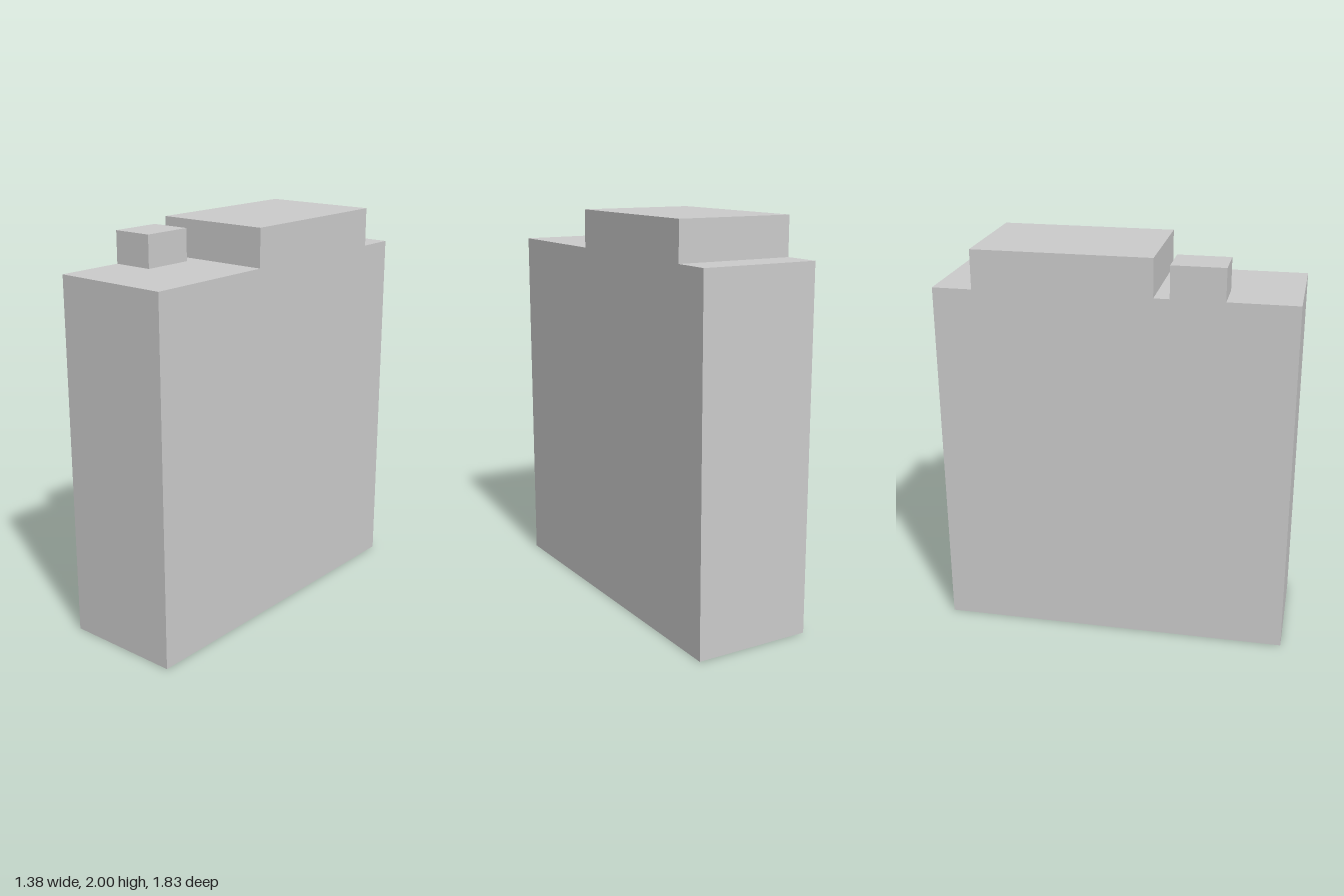
import * as THREE from 'three';

const WIDTH = 0.602;
const HALF_LENGTH = 0.8815;
const FRONT_ROOF = 1.81;
const REAR_ROOF = 1.805;

export function createModel() {
  const model = new THREE.Group();
  model.name = 'building';
  const material = new THREE.MeshStandardMaterial({ color: 0xcccccc, flatShading: true });

  // Slab block: stepped side profile (length, height) extruded across its width
  const profile = new THREE.Shape([
    [-HALF_LENGTH, 0], [HALF_LENGTH, 0], [HALF_LENGTH, REAR_ROOF], [0.684, REAR_ROOF],
    [0.684, 2], [-0.1975, 2], [-0.1975, FRONT_ROOF], [-HALF_LENGTH, FRONT_ROOF],
  ].map(([x, y]) => new THREE.Vector2(x, y)));
  const blockGeometry = new THREE.ExtrudeGeometry(profile, { depth: WIDTH, bevelEnabled: false });
  blockGeometry.translate(0, 0, -WIDTH / 2).rotateY(Math.PI / 2);
  const block = new THREE.Mesh(blockGeometry, material);
  block.name = 'steppedBlock';

  // Small roof hut, flush with the long side wall
  const hutWidth = 0.21, hutHeight = 0.16, hutLength = 0.262;
  const hut = new THREE.Mesh(new THREE.BoxGeometry(hutWidth, hutHeight, hutLength), material);
  hut.name = 'roofHut';
  hut.position.set((hutWidth - WIDTH) / 2, FRONT_ROOF + hutHeight / 2, 0.4055);

  // The whole building stands turned on its plot
  model.add(block, hut);
  model.rotation.y = -0.505;
  return model;
}
